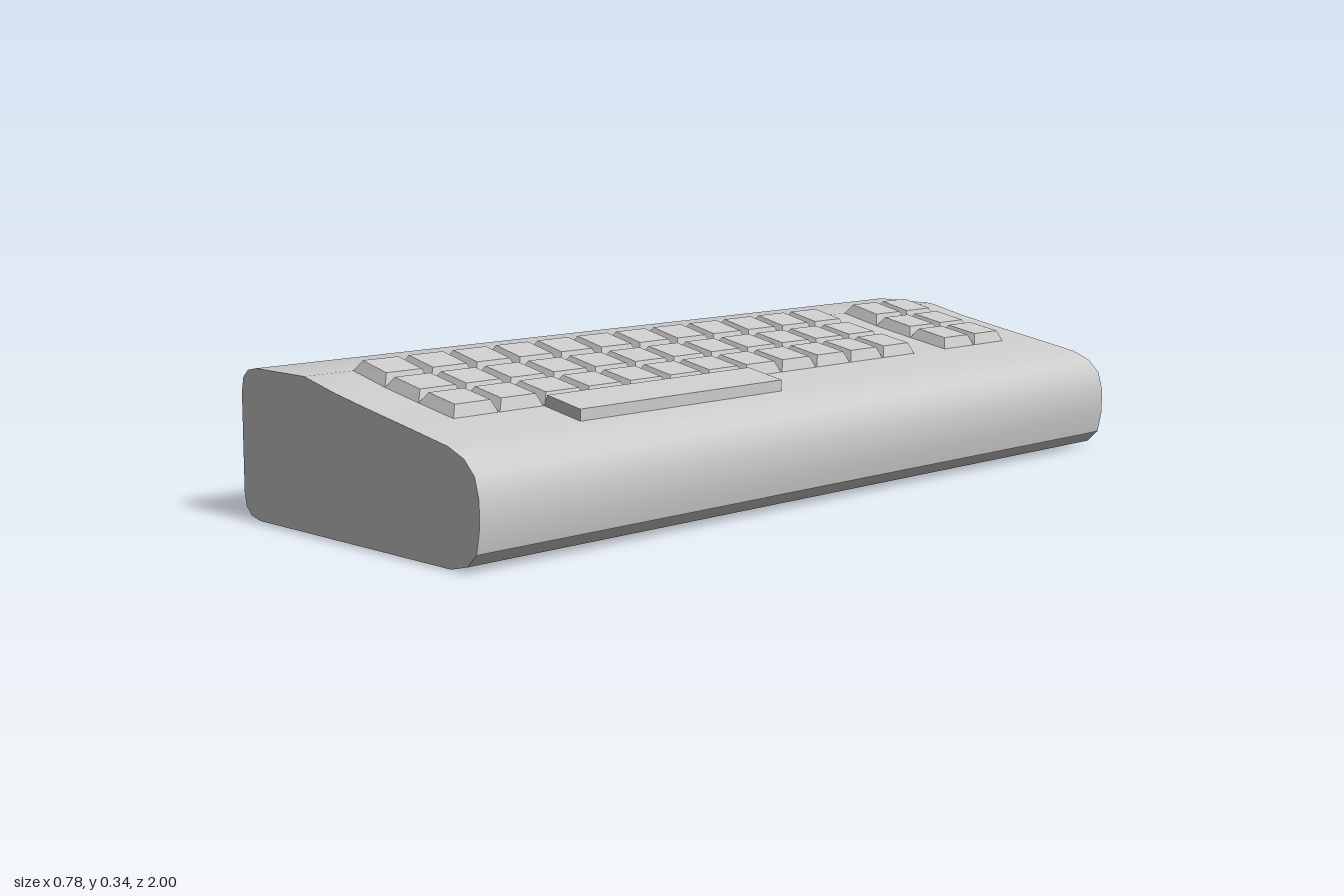
import * as THREE from 'three';
import { toCreasedNormals } from 'three/addons/utils/BufferGeometryUtils.js';

const material = new THREE.MeshStandardMaterial({ color: 0xcccccc });

// Side profile of the case, counter-clockwise in x, y
const CASE_PROFILE = [
  [-0.335, 0], [0.303, 0], [0.351, 0.012], [0.38, 0.04], [0.39, 0.09],
  [0.39, 0.145], [0.378, 0.188], [0.347, 0.218], [0.3, 0.236],
  [0.165, 0.26], [0.055, 0.279], [-0.055, 0.299], [-0.163, 0.323],
  [-0.335, 0.323], [-0.365, 0.317], [-0.383, 0.3], [-0.39, 0.268],
  [-0.392, 0.055], [-0.386, 0.025], [-0.368, 0.007],
];

// Key side profiles: base back, base front, top front, top back
const KEY_COLUMNS = [
  [[-0.163, 0.322], [-0.055, 0.299], [-0.065, 0.327], [-0.145, 0.345]],
  [[-0.055, 0.299], [0.055, 0.279], [0.045, 0.305], [-0.038, 0.321]],
  [[0.055, 0.279], [0.165, 0.26], [0.155, 0.286], [0.072, 0.301]],
];
const SPACE_BAR = [[0.165, 0.26], [0.275, 0.24], [0.275, 0.265], [0.175, 0.283]];

const PITCH = 0.118;

function add(group, name, geometry) {
  const mesh = new THREE.Mesh(geometry, material);
  mesh.name = name;
  group.add(mesh);
  return mesh;
}

// Box whose corners follow a side profile, its top narrowed in z by taper
function keyGeometry(profile, width, taper) {
  const geo = new THREE.BoxGeometry(1, 1, 1).toNonIndexed();
  const p = geo.attributes.position;
  for (let i = 0; i < p.count; i++) {
    const front = p.getX(i) > 0;
    const top = p.getY(i) > 0;
    const [x, y] = profile[top ? (front ? 2 : 3) : (front ? 1 : 0)];
    const z = Math.sign(p.getZ(i)) * (width / 2 - (top ? taper : 0));
    p.setXYZ(i, x, y, z);
  }
  geo.computeVertexNormals();
  return geo;
}

export function createModel() {
  const model = new THREE.Group();
  model.name = 'keyboard';

  // Case: one profile running the full length
  const shape = new THREE.Shape(CASE_PROFILE.map(([x, y]) => new THREE.Vector2(x, y)));
  const body = new THREE.ExtrudeGeometry(shape, { depth: 2, bevelEnabled: false });
  body.translate(0, 0, -1);
  add(model, 'case', toCreasedNormals(body, 0.58));

  // Key blocks: main block and the small function block
  const blocks = [
    { name: 'mainKeys', start: -0.535, count: 12 },
    { name: 'functionKeys', start: -0.885, count: 2 },
  ];
  const keyShapes = KEY_COLUMNS.map((c) => keyGeometry(c, PITCH - 0.004, 0.012));
  for (const { name, start, count } of blocks) {
    const block = new THREE.Group();
    block.name = name;
    for (const geo of keyShapes) {
      for (let i = 0; i < count; i++) {
        add(block, 'key', geo).position.z = start + PITCH * (i + 0.5);
      }
    }
    model.add(block);
  }

  // Space bar
  add(model, 'spaceBar', keyGeometry(SPACE_BAR, 0.59, 0)).position.z = 0.35;

  return model;
}
